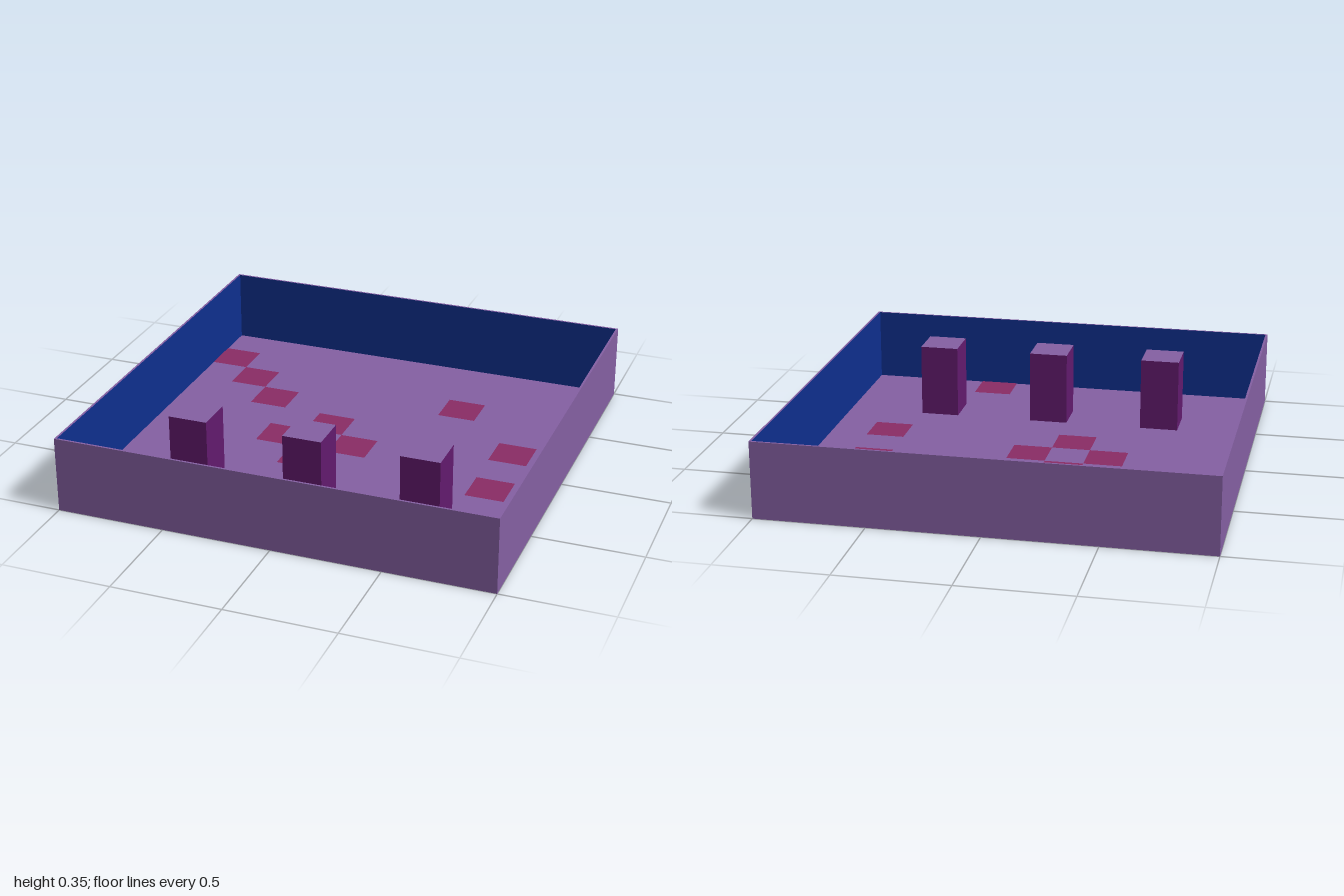
import * as THREE from 'three';

const CELL = 0.18, HEIGHT = 0.35, WALL = 0.01, FLOOR = 0.01;

export function createModel() {
  const group = new THREE.Group();
  const paint = (color) => new THREE.MeshStandardMaterial({ color });
  const purple = paint(0x8560a3), red = paint(0x8b2c66);
  const blue = paint(0x0e2f8f), plum = paint(0x631a6e);

  const add = (name, geometry, material, x, y, z) => {
    const mesh = new THREE.Mesh(geometry, material);
    mesh.name = name;
    mesh.position.set(x, y, z);
    group.add(mesh);
    return mesh;
  };

  // Floor slab, 11 x 11 cells
  add('floor', new THREE.BoxGeometry(11 * CELL, FLOOR, 11 * CELL), purple, 0, FLOOR / 2, 0);

  // Four thin walls, blue on the inner face, meeting without overlap at the corners
  const wallGeometry = new THREE.BoxGeometry(2 - WALL, HEIGHT, WALL);
  wallGeometry.translate(WALL / 2, HEIGHT / 2, 1 - WALL / 2);
  const wallMaterials = [purple, purple, purple, purple, purple, blue];
  ['frontWall', 'leftWall', 'backWall', 'rightWall'].forEach((name, i) => {
    add(name, wallGeometry, wallMaterials, 0, 0, 0).rotation.y = (i * Math.PI) / 2;
  });

  // Red floor tiles, by cell column and row
  const tileGeometry = new THREE.PlaneGeometry(CELL, CELL).rotateX(-Math.PI / 2);
  const tiles = [
    [-5, -4], [-4, -3], [-3, -2],
    [-1, -1], [-2, 0], [0, 0], [-1, 1],
    [2, -3], [4, -1], [4, 1], [2, 5],
  ];
  for (const [col, row] of tiles) {
    add('floorTile', tileGeometry, red, col * CELL, FLOOR + 0.002, row * CELL);
  }

  // Three square pillars with purple caps, level with the wall tops
  const pillarHeight = HEIGHT - FLOOR;
  const pillarGeometry = new THREE.BoxGeometry(CELL, pillarHeight, CELL);
  const pillarMaterials = [plum, plum, purple, purple, plum, plum];
  for (const col of [-3, 0, 3]) {
    add('pillar', pillarGeometry, pillarMaterials, col * CELL, FLOOR + pillarHeight / 2, 3 * CELL);
  }

  return group;
}
